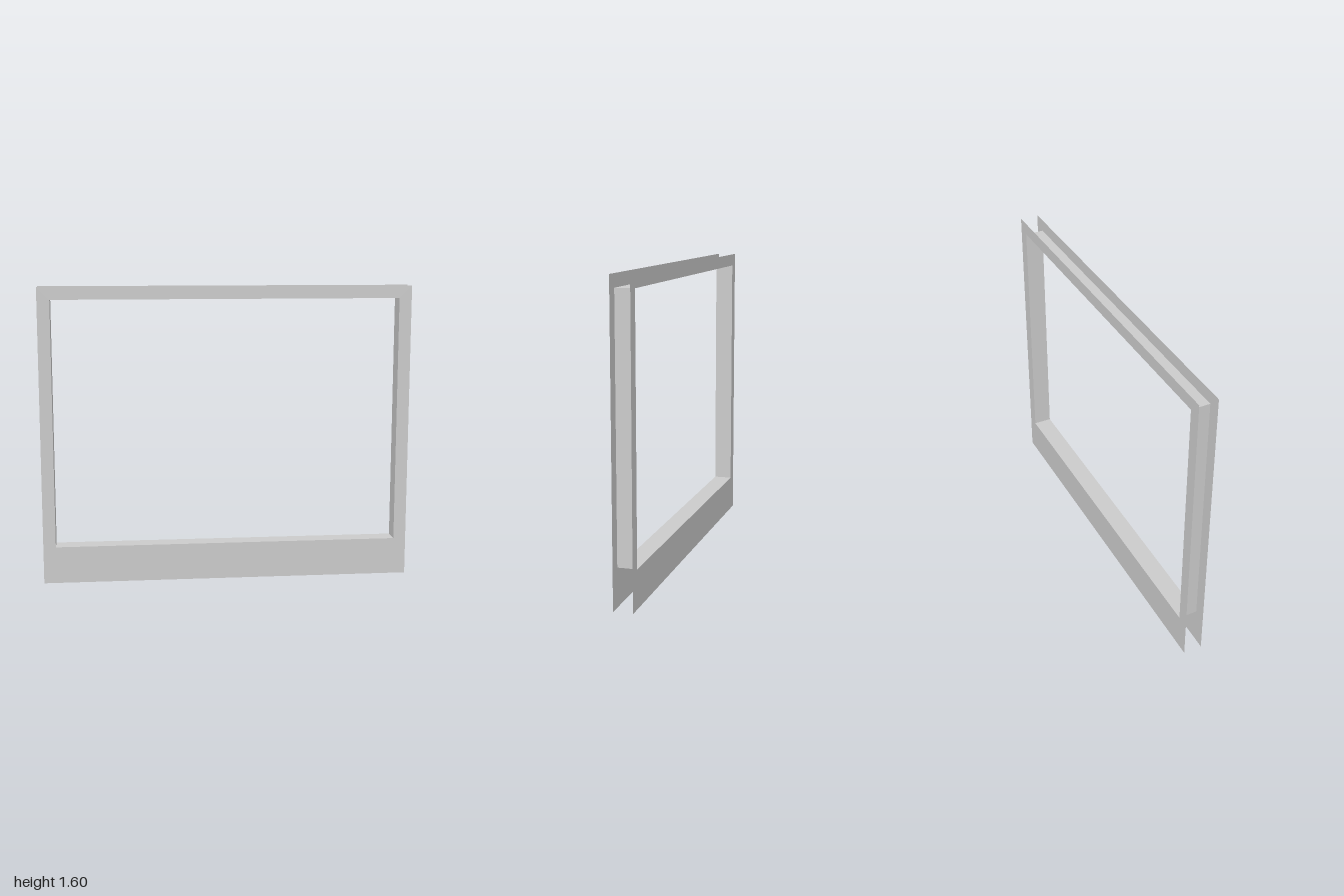
import * as THREE from 'three';

const W = 2, H = 1.6;            // outer size
const SIDE = 0.067, SILL = 0.2;  // border widths: sides and top, bottom
const HALF_DEPTH = 0.05;

export function createModel() {
  const model = new THREE.Group();
  model.name = 'windowFrame';
  const material = new THREE.MeshStandardMaterial({
    color: 0xcccccc, flatShading: true, side: THREE.DoubleSide,
  });

  const x = W / 2 - SIDE, top = H - SIDE;
  const rect = (x0, y0, x1, y1) => [[x0, y0], [x1, y0], [x1, y1], [x0, y1]]
    .map(([px, py]) => new THREE.Vector2(px, py));

  // Thin front and back faces with the window opening
  const outline = new THREE.Shape(rect(-W / 2, 0, W / 2, H));
  outline.holes.push(new THREE.Path(rect(-x, SILL, x, top).reverse()));
  const faceGeometry = new THREE.ShapeGeometry(outline);
  for (const [name, z, turn] of [['frontFace', HALF_DEPTH, 0], ['backFace', -HALF_DEPTH, Math.PI]]) {
    const face = new THREE.Mesh(faceGeometry, material);
    face.name = name;
    face.position.z = z;
    face.rotation.y = turn;
    model.add(face);
  }

  // Reveal panels lining the opening, facing inwards; the outer rim stays open
  const addReveal = (name, width, height, position, rx, ry) => {
    const panel = new THREE.Mesh(new THREE.PlaneGeometry(width, height), material);
    panel.name = name;
    panel.position.set(...position);
    panel.rotation.set(rx, ry, 0);
    model.add(panel);
  };
  const depth = 2 * HALF_DEPTH, midY = (SILL + top) / 2;
  addReveal('sillReveal', 2 * x, depth, [0, SILL, 0], -Math.PI / 2, 0);
  addReveal('topReveal', 2 * x, depth, [0, top, 0], Math.PI / 2, 0);
  addReveal('leftReveal', depth, top - SILL, [x, midY, 0], 0, -Math.PI / 2);
  addReveal('rightReveal', depth, top - SILL, [-x, midY, 0], 0, Math.PI / 2);

  return model;
}
